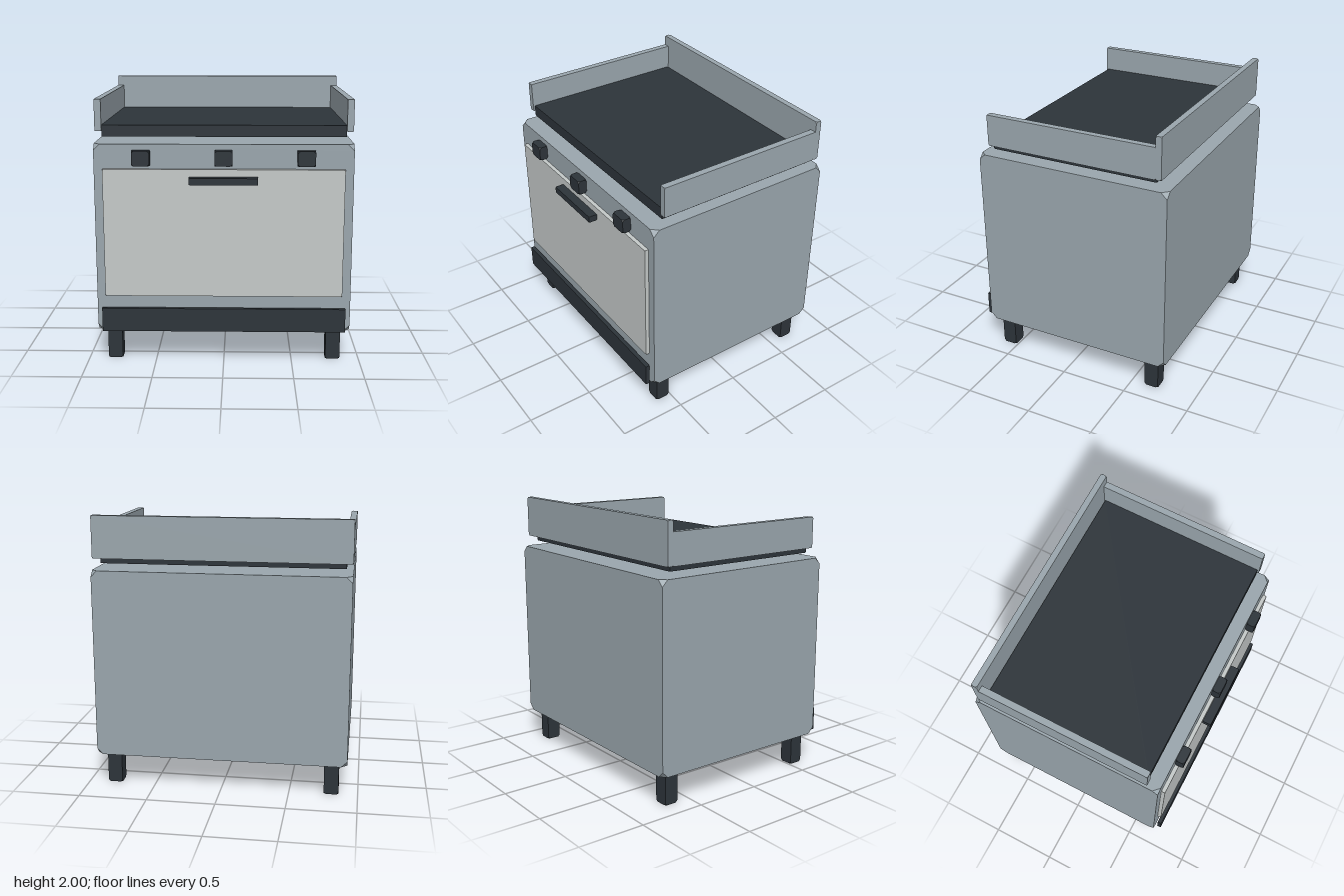
import * as THREE from 'three';
import { ConvexGeometry } from 'three/addons/geometries/ConvexGeometry.js';

function material(name, color) {
  const m = new THREE.MeshStandardMaterial({ color });
  m.name = name;
  return m;
}

// Box between two corners, with each of its eight corners cut off by a small triangle
function cutBox([x0, x1], [y0, y1], [z0, z1], cut) {
  const points = [];
  for (const [x, sx] of [[x0, 1], [x1, -1]])
    for (const [y, sy] of [[y0, 1], [y1, -1]])
      for (const [z, sz] of [[z0, 1], [z1, -1]])
        points.push(
          new THREE.Vector3(x + sx * cut, y, z),
          new THREE.Vector3(x, y + sy * cut, z),
          new THREE.Vector3(x, y, z + sz * cut)
        );
  return new ConvexGeometry(points);
}

export function createModel() {
  const steel = material('steel', 0x9aa6ad);
  const panel = material('pale panel', 0xc4c9c8);
  const iron = material('dark iron', 0x2d343a);

  const model = new THREE.Group();
  model.name = 'griddleOven';
  const add = (name, mat, x, y, z, cut) => {
    const mesh = new THREE.Mesh(cutBox(x, y, z, cut), mat);
    mesh.name = name;
    model.add(mesh);
  };

  // Oven body and door
  add('body', steel, [-0.92, 0.92], [0.24, 1.615], [-0.775, 0.683], 0.045);
  add('door', panel, [-0.857, 0.857], [0.51, 1.44], [0.68, 0.712], 0.01);
  add('doorHandle', iron, [-0.243, 0.243], [1.34, 1.388], [0.71, 0.777], 0.008);

  // Control knobs
  for (const x of [-0.582, 0, 0.582])
    add('knob', iron, [x - 0.063, x + 0.063], [1.467, 1.575], [0.68, 0.747], 0.016);

  // Kick plate standing just clear of the body
  add('kickPlate', iron, [-0.882, 0.882], [0.247, 0.42], [0.7, 0.731], 0.003);

  // Legs
  for (const x of [-0.807, 0.807])
    for (const z of [-0.655, 0.567])
      add('leg', iron, [x - 0.053, x + 0.053], [0, 0.243], [z - 0.053, z + 0.053], 0.015);

  // Cooking plate, raised above the body
  add('griddlePlate', iron, [-0.873, 0.873], [1.655, 1.738], [-0.678, 0.585], 0.006);

  // Splash guards around three sides
  for (const s of [-1, 1])
    add('sideGuard', steel, [s * 0.896 - 0.024, s * 0.896 + 0.024], [1.695, 1.922], [-0.688, 0.598], 0.008);
  add('backGuard', steel, [-0.92, 0.92], [1.695, 2], [-0.73, -0.685], 0.012);

  return model;
}
